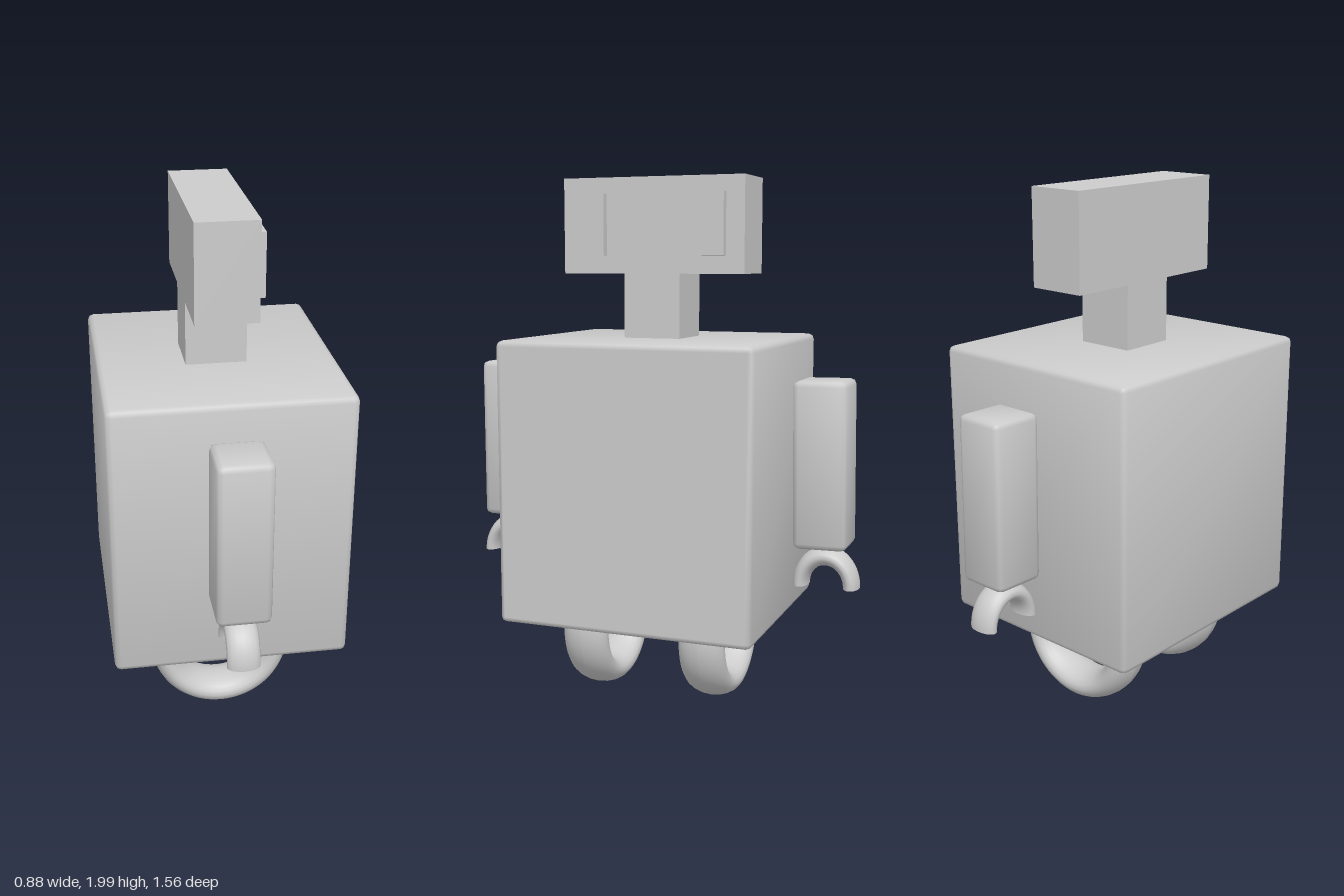
import * as THREE from 'three';
import { RoundedBoxGeometry } from 'three/addons/geometries/RoundedBoxGeometry.js';

export function createModel() {
  const model = new THREE.Group();
  model.name = 'robot';
  const grey = new THREE.MeshStandardMaterial({ color: 0xcccccc });
  grey.name = 'light grey';

  function add(name, geometry, x, y, z, parent = model) {
    const mesh = new THREE.Mesh(geometry, grey);
    mesh.name = name;
    mesh.position.set(x, y, z);
    parent.add(mesh);
    return mesh;
  }

  // Bevelled box whose normals lean outwards at the corners, for soft shading
  function softBox(w, h, d, bevel, flatFront = false) {
    const g = new RoundedBoxGeometry(w, h, d, 1, bevel);
    const p = g.attributes.position, n = g.attributes.normal;
    const v = new THREE.Vector3();
    for (let i = 0; i < p.count; i++) {
      v.fromBufferAttribute(n, i);
      if (flatFront && v.x > 0.9) continue;
      v.x += 0.25 * Math.sign(p.getX(i));
      v.y += 0.25 * Math.sign(p.getY(i));
      v.z += 0.25 * Math.sign(p.getZ(i));
      v.normalize();
      n.setXYZ(i, v.x, v.y, v.z);
    }
    return g;
  }

  // Body
  add('body', softBox(0.88, 1.06, 0.98, 0.022, true), -0.002, 0.875, 0);

  // Head, neck and eyes, with the face towards +x
  add('neck', new THREE.BoxGeometry(0.225, 0.26, 0.22), -0.0075, 1.515, 0.004);
  add('head', new THREE.BoxGeometry(0.225, 0.355, 0.715), -0.0075, 1.8225, 0.002);
  for (const z of [0.24, -0.23]) {
    add('eye', new THREE.BoxGeometry(0.04, 0.23, 0.11), 0.115, 1.825, z);
  }

  // Arms with open, hook-shaped hands
  function arm(name, x, y, z, tilt, handZ, handY) {
    const group = new THREE.Group();
    group.name = name;
    model.add(group);
    add('upperArm', softBox(0.197, 0.622, 0.2, 0.022), x, y, z, group).rotation.x = tilt;

    const hand = new THREE.Group();
    hand.name = 'hand';
    hand.position.set(-0.006, handY, handZ);
    hand.rotation.y = Math.PI / 2;
    hand.scale.set(1, 1.2, 2);
    group.add(hand);
    add('claw', new THREE.TorusGeometry(0.096, 0.03, 16, 32, Math.PI), 0, 0, 0, hand);
    for (const s of [-1, 1]) {
      add('clawTip', new THREE.CircleGeometry(0.03, 16), s * 0.096, 0, 0, hand).rotation.x = Math.PI / 2;
    }
  }
  arm('rightArm', -0.002, 0.987, 0.638, 0, 0.651, 0.515);
  arm('leftArm', 0.004, 0.952, -0.642, 0.014, -0.655, 0.487);

  // Ring-shaped feet, their upper ends hidden in the body
  for (const [z, y] of [[0.242, 0.278], [-0.232, 0.284]]) {
    const g = new THREE.TorusGeometry(0.216, 0.054, 20, 48, Math.PI * 1.5);
    g.rotateZ(Math.PI * 0.75);
    g.scale(1, 1, 1.68);
    g.computeVertexNormals();
    add('foot', g, -0.015, y, z);
  }

  return model;
}
